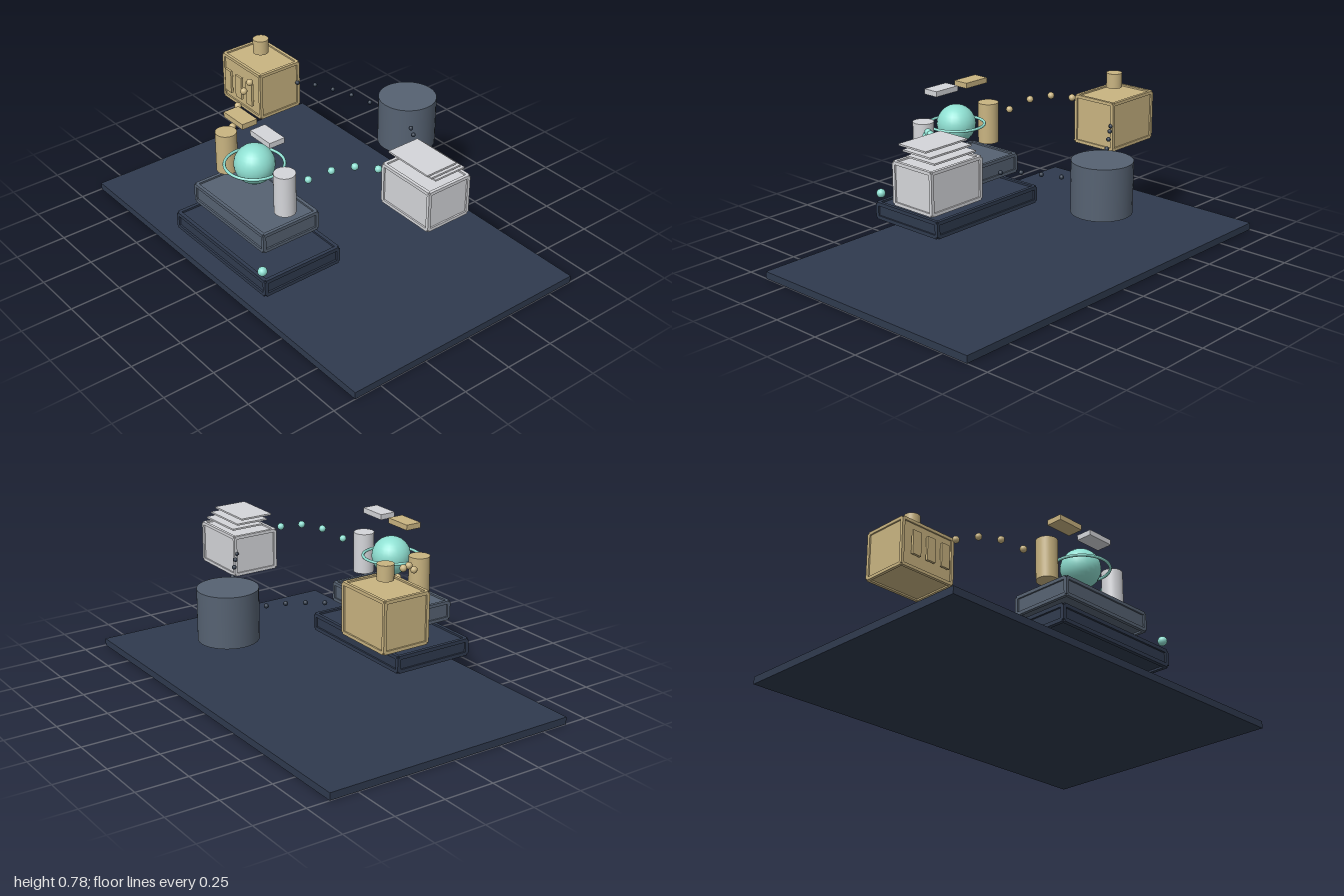
import * as THREE from 'three';

const mat = (color) => new THREE.MeshStandardMaterial({ color });

export function createModel() {
  const root = new THREE.Group();
  const navy = mat(0x2f3a4e), slate = mat(0x566272), gold = mat(0xc9b481);
  const silver = mat(0xd5d6da), teal = mat(0x8fe0d2), ink = mat(0x2c3746);

  const add = (name, geometry, material, x, y, z, parent = root) => {
    const mesh = new THREE.Mesh(geometry, material);
    mesh.name = name;
    mesh.position.set(x, y, z);
    parent.add(mesh);
    return mesh;
  };
  const box = (name, w, h, d, m, x, y, z, parent) =>
    add(name, new THREE.BoxGeometry(w, h, d), m, x, y, z, parent);
  const cylinder = (name, r, h, m, x, y, z) =>
    add(name, new THREE.CylinderGeometry(r, r, h, 32), m, x, y, z);

  // Block with a raised beam along each of its twelve edges
  const framedBox = (name, w, h, d, b, m, x, y, z) => {
    const group = new THREE.Group();
    group.name = name;
    group.position.set(x, y, z);
    root.add(group);
    const [cw, ch, cd] = [w - b, h - b, d - b];
    box(name + 'Core', cw, ch, cd, m, 0, 0, 0, group);
    for (const s of [-1, 1]) {
      for (const t of [-1, 1]) {
        box('edgeBeam', cw, b, b, m, 0, s * ch / 2, t * cd / 2, group);
        box('edgeBeam', b, ch, b, m, s * cw / 2, 0, t * cd / 2, group);
        box('edgeBeam', b, b, cd, m, s * cw / 2, t * ch / 2, 0, group);
      }
    }
  };

  // Ground slab
  box('baseSlab', 2, 0.035, 1.276, navy, 0, 0.0175, 0);

  // Two stacked platforms with a status light
  framedBox('lowerPlatform', 0.692, 0.086, 0.42, 0.018, navy, 0, 0.16, 0.4);
  framedBox('upperPlatform', 0.532, 0.096, 0.308, 0.016, slate, 0, 0.332, 0.402);
  add('statusLight', new THREE.SphereGeometry(0.022, 16, 12), teal, 0.318, 0.24, 0.602);

  // Globe with a horizontal ring
  add('globe', new THREE.SphereGeometry(0.094, 24, 16), teal, 0, 0.56, 0.402);
  add('globeRing', new THREE.TorusGeometry(0.135, 0.007, 8, 48), teal, 0, 0.56, 0.402).rotation.x = Math.PI / 2;

  // Pillars and hovering plates beside the globe
  for (const [s, m] of [[-1, gold], [1, silver]]) {
    cylinder('pillar', 0.05, 0.2, m, s * 0.22, 0.52, 0.4);
    box('hoverPlate', 0.142, 0.026, 0.08, m, s * 0.1, 0.748, 0.4);
  }

  // Gold workshop with front panels and chimney
  framedBox('workshop', 0.308, 0.24, 0.238, 0.015, gold, -0.602, 0.56, -0.08);
  for (const x of [-0.685, -0.6, -0.515]) box('frontPanel', 0.048, 0.118, 0.012, gold, x, 0.56, 0.054);
  cylinder('chimney', 0.038, 0.072, gold, -0.6, 0.745, -0.08);

  // Silver cabinet with staggered sheets
  framedBox('cabinet', 0.308, 0.2, 0.238, 0.015, silver, 0.6, 0.54, -0.08);
  for (let i = 0; i < 3; i++) {
    box('sheet', 0.25, 0.008, 0.166, silver, 0.6, 0.666 + i * 0.021, -0.105 + i * 0.025);
  }

  // Storage drum
  cylinder('drum', 0.139, 0.24, slate, 0, 0.46, -0.502);

  // Bead trails joining the stations
  const trail = (name, points, r, m) => {
    for (const p of points) add(name, new THREE.SphereGeometry(r, 12, 8), m, ...p);
  };
  trail('tealBead', [[0.282, 0.584, 0.318], [0.345, 0.631, 0.24], [0.407, 0.651, 0.16], [0.47, 0.638, 0.08]], 0.017, teal);
  trail('goldBead', [[-0.285, 0.585, 0.318], [-0.348, 0.638, 0.24], [-0.411, 0.659, 0.16], [-0.475, 0.65, 0.08]], 0.017, gold);
  trail('darkBead', [[-0.15, 0.516, -0.395], [-0.227, 0.541, -0.343], [-0.304, 0.557, -0.29],
    [-0.377, 0.568, -0.238], [-0.45, 0.566, -0.186]], 0.011, ink);
  trail('darkBead', [[0.15, 0.513, -0.395], [0.225, 0.532, -0.343], [0.298, 0.548, -0.29],
    [0.374, 0.554, -0.238], [0.45, 0.553, -0.186]], 0.011, ink);

  return root;
}
